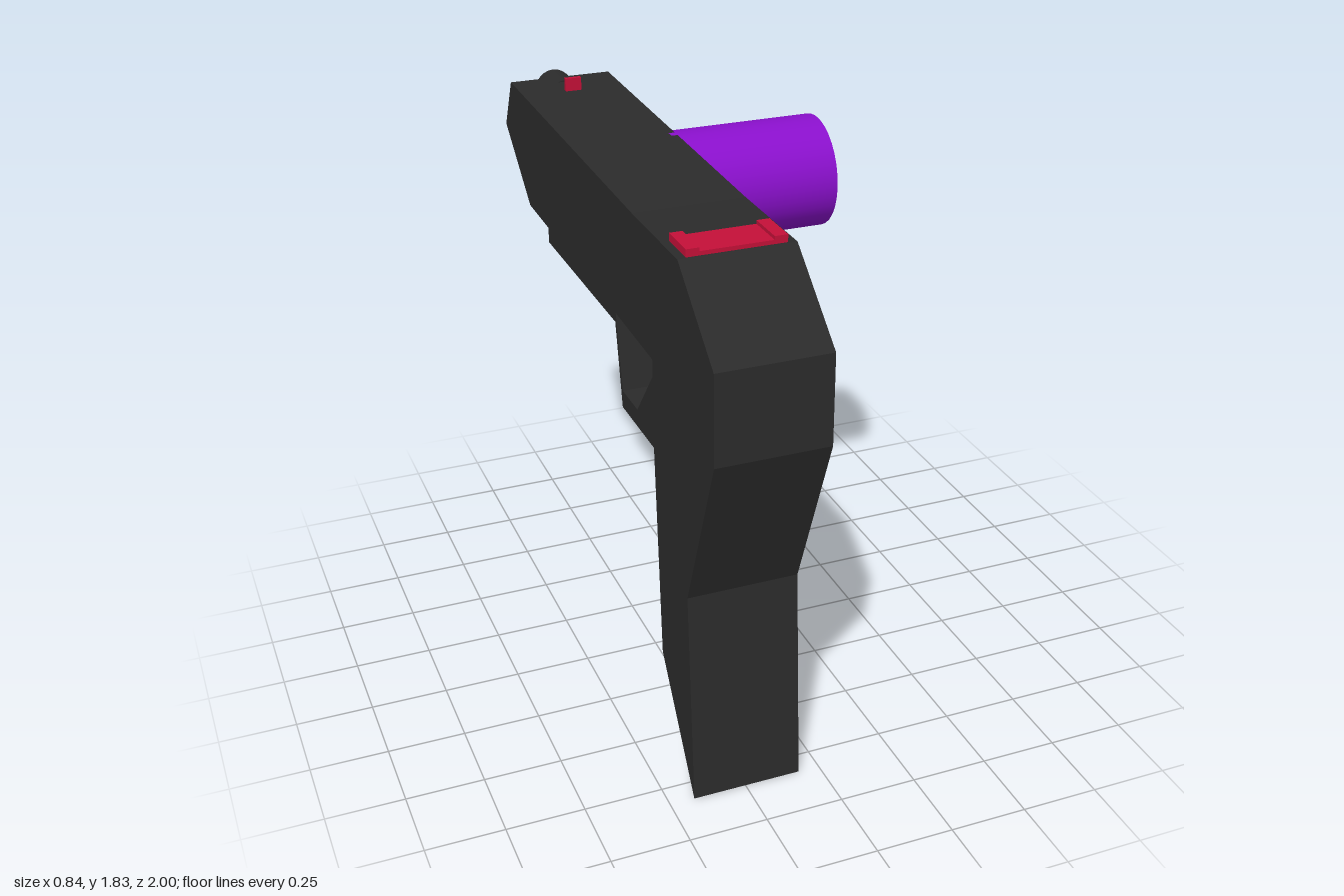
import * as THREE from 'three';

const dark = new THREE.MeshStandardMaterial({ color: 0x2b2b2b, flatShading: true });
const purple = new THREE.MeshStandardMaterial({ color: 0x8a10cc });
const red = new THREE.MeshStandardMaterial({ color: 0xc41038 });

const BODY_X = -0.245; // centre of the body's thickness
const BODY_W = 0.352;

const points = (list) => list.map(([z, y]) => new THREE.Vector2(z, y));

export function createModel() {
  const model = new THREE.Group();

  function add(name, geometry, material, x, y, z) {
    const mesh = new THREE.Mesh(geometry, material);
    mesh.name = name;
    mesh.position.set(x, y, z);
    model.add(mesh);
    return mesh;
  }

  // Body, grip and guard: one side profile (z, y) with the trigger opening cut out
  const profile = new THREE.Shape(points([
    [0.735, 1.76], [1, 1.54], [1, 1.255], [0.785, 0.71], [0.828, 0],
    [0.56, 0.375], [0.515, 1.075], [0.23, 1.075], [0.18, 1.343],
    [-0.518, 1.343], [-0.518, 1.395], [-0.735, 1.4], [-1, 1.615],
    [-0.905, 1.79], [0.36, 1.76],
  ]));
  profile.holes.push(new THREE.Path(points([
    [0.515, 1.365], [0.187, 1.375], [0.236, 1.133], [0.37, 1.133], [0.515, 1.31],
  ])));
  const body = new THREE.ExtrudeGeometry(profile, { depth: BODY_W, bevelEnabled: false });
  body.translate(0, 0, -BODY_W / 2);
  body.rotateY(-Math.PI / 2); // profile x becomes z
  add('body', body, dark, BODY_X, 0, 0);

  // Muzzle stub on the sloped nose
  const muzzle = new THREE.CylinderGeometry(0.066, 0.066, 0.14, 24);
  muzzle.rotateX(Math.PI / 2);
  add('muzzle', muzzle, new THREE.MeshStandardMaterial({ color: 0x2b2b2b }), BODY_X, 1.728, -0.917);

  // Side drum
  const drum = new THREE.CylinderGeometry(0.185, 0.185, 0.51, 32);
  drum.rotateZ(Math.PI / 2);
  add('sideDrum', drum, purple, 0.165, 1.59, -0.222);

  // Rear sight: a low plate with a raised rail at each end
  add('rearSightPlate', new THREE.BoxGeometry(0.3, 0.025, 0.13), red, BODY_X, 1.76, 0.665);
  for (const side of [-1, 1]) {
    add('rearSightRail', new THREE.BoxGeometry(0.04, 0.035, 0.13), red, BODY_X + side * 0.13, 1.766, 0.665);
  }

  // Front sight blade
  add('frontSight', new THREE.BoxGeometry(0.055, 0.06, 0.015), red, BODY_X, 1.8, -0.752);

  return model;
}
